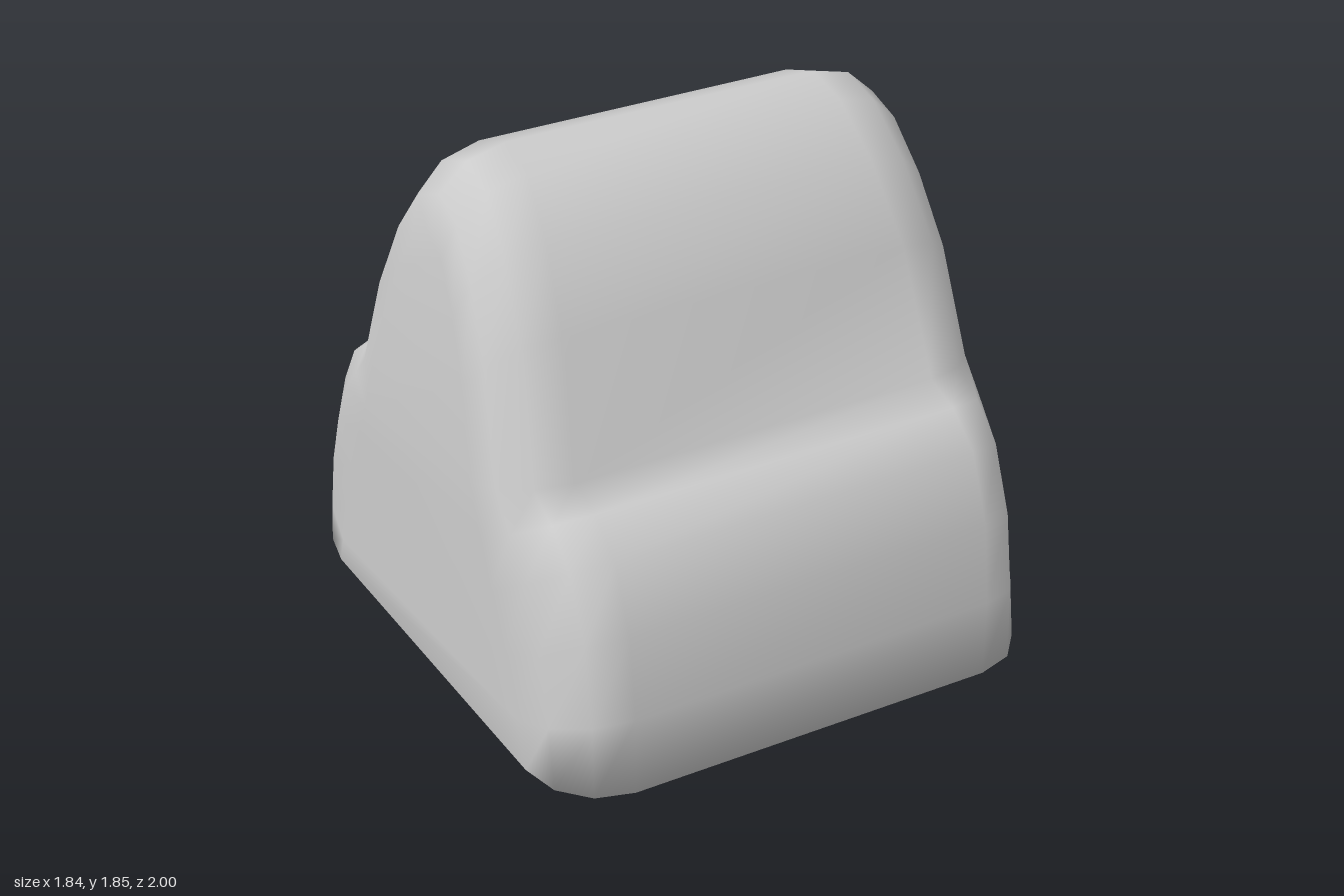
import * as THREE from 'three';

// Silhouette in [z, y], from the front foot over the ridge to the back foot
const OUTER = [
  [1, 0], [1, 0.28], [0.965, 0.57], [0.875, 0.8], [0.75, 0.905], [0.62, 0.95], [0.48, 1.39],
  [0.32, 1.645], [0.155, 1.805], [0, 1.85], [-0.18, 1.785], [-0.335, 1.61], [-0.475, 1.33],
  [-0.59, 0.93], [-0.7, 0.89], [-0.82, 0.82], [-0.92, 0.67], [-0.98, 0.46], [-1, 0.2], [-1, 0],
];
// Border of the flat side panel, matched point for point
const INNER = [
  [0.72, 0], [0.66, 0.16], [0.58, 0.36], [0.5, 0.56], [0.44, 0.72], [0.38, 0.9], [0.29, 1.2],
  [0.2, 1.4], [0.1, 1.55], [0, 1.6], [-0.11, 1.54], [-0.2, 1.4], [-0.29, 1.18],
  [-0.38, 0.9], [-0.42, 0.78], [-0.48, 0.65], [-0.56, 0.45], [-0.63, 0.28], [-0.69, 0.1], [-0.72, 0],
];
// Rounded shoulder: half width low down, half width at the ridge, blend towards INNER
const SHOULDER = [[0.67, 0.57, 0], [0.8, 0.71, 0.14], [0.89, 0.81, 0.5], [0.92, 0.855, 1]];

function bodyGeometry() {
  const { lerp, clamp } = THREE.MathUtils;
  const rings = [
    ...SHOULDER.map((s) => [-1, ...s]).reverse(),
    ...SHOULDER.map((s) => [1, ...s]),
  ];
  const n = OUTER.length, m = rings.length;
  const positions = [], index = [];
  const id = (i, j) => (i % n) * m + j;
  const quad = (a, b, c, d) => index.push(a, b, c, a, c, d);

  for (let i = 0; i < n; i++) {
    const taper = clamp((INNER[i][1] - 0.95) / 0.65, 0, 1);
    for (const [side, low, high, t] of rings) {
      positions.push(
        side * lerp(low, high, taper),
        lerp(OUTER[i][1], INNER[i][1], t),
        lerp(OUTER[i][0], INNER[i][0], t),
      );
    }
  }
  // Skin around the profile; the last step closes the underside
  for (let i = 0; i < n; i++) {
    for (let j = 0; j < m - 1; j++) quad(id(i, j), id(i, j + 1), id(i + 1, j + 1), id(i + 1, j));
  }
  // Side panels, as rungs from front border to back border
  for (let i = 0; i < n / 2 - 1; i++) {
    const k = n - 1 - i;
    quad(id(i, m - 1), id(k, m - 1), id(k - 1, m - 1), id(i + 1, m - 1));
    quad(id(k, 0), id(i, 0), id(i + 1, 0), id(k - 1, 0));
  }
  const geometry = new THREE.BufferGeometry();
  geometry.setAttribute('position', new THREE.Float32BufferAttribute(positions, 3));
  geometry.setIndex(index);
  geometry.computeVertexNormals();
  return geometry;
}

export function createModel() {
  const group = new THREE.Group();
  group.name = 'softBlock';
  const body = new THREE.Mesh(bodyGeometry(), new THREE.MeshStandardMaterial({ color: 0xcccccc }));
  body.name = 'body';
  group.add(body);
  return group;
}
